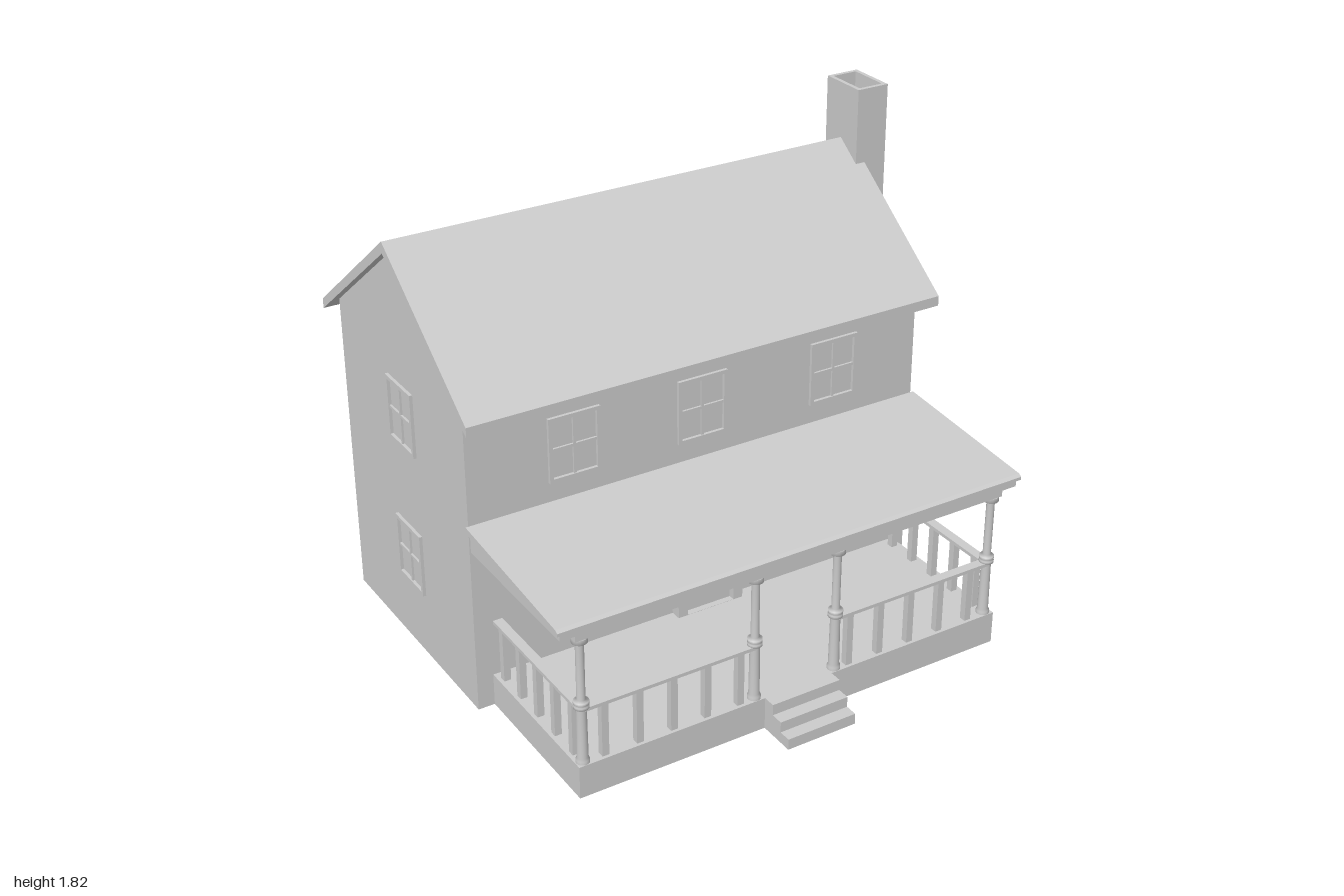
import * as THREE from 'three';

export function createModel() {
  const house = new THREE.Group();
  house.name = 'house';
  const grey = new THREE.MeshStandardMaterial({ color: 0xcccccc, side: THREE.DoubleSide });

  const add = (name, geo, parent = house) => {
    const mesh = new THREE.Mesh(geo, grey);
    mesh.name = name;
    parent.add(mesh);
    return mesh;
  };
  // Box given by its limits
  const box = (name, x0, x1, y0, y1, z0, z1, parent) => {
    const g = new THREE.BoxGeometry(x1 - x0, y1 - y0, z1 - z0);
    g.translate((x0 + x1) / 2, (y0 + y1) / 2, (z0 + z1) / 2);
    return add(name, g, parent);
  };
  // Outline of [z, y] points
  const sideShape = pts => new THREE.Shape(pts.map(([z, y]) => new THREE.Vector2(-z, y)));
  // Side outline swept from x0 to x1
  const sweep = (name, pts, x0, x1, parent) => {
    const g = new THREE.ExtrudeGeometry(sideShape(pts), { depth: x1 - x0, bevelEnabled: false });
    g.rotateY(Math.PI / 2);
    g.translate(x0, 0, 0);
    return add(name, g, parent);
  };
  const rect = (Type, x0, x1, y0, y1) => new Type([[x0, y0], [x1, y0], [x1, y1], [x0, y1]]
    .map(p => new THREE.Vector2(...p)));

  // Walls, hollow and open underneath
  const left = -0.97, right = 0.87, front = 0.155, back = -0.83, ridge = -0.335;
  const eave = 1.195, peak = 1.56;
  for (const [name, z, turn] of [['frontWall', front, 0], ['backWall', back, Math.PI]]) {
    const g = new THREE.PlaneGeometry(right - left, eave);
    g.rotateY(turn);
    g.translate((left + right) / 2, eave / 2, z);
    add(name, g);
  }
  for (const [name, x] of [['leftGableWall', left], ['rightGableWall', right]]) {
    const g = new THREE.ShapeGeometry(sideShape([[front, 0], [back, 0], [back, eave], [ridge, peak], [front, eave]]));
    g.rotateY(Math.PI / 2);
    g.translate(x, 0, 0);
    add(name, g);
  }

  // Main roof
  sweep('mainRoof', [[0.245, 1.13], [0.245, 1.168], [ridge, 1.603], [-0.915, 1.168], [-0.915, 1.13], [ridge, peak]], -1, 0.905);

  // Chimney: rectangular rings [x0, x1, z0, z1, y] joined by side faces
  const loft = rings => {
    const pos = [];
    const corner = ([x0, x1, z0, z1, y], i) => [[x0, y, z1], [x1, y, z1], [x1, y, z0], [x0, y, z0]][i % 4];
    for (let r = 0; r < rings.length - 1; r++) {
      for (let i = 0; i < 4; i++) {
        const a = corner(rings[r], i), b = corner(rings[r], i + 1);
        const c = corner(rings[r + 1], i + 1), d = corner(rings[r + 1], i);
        pos.push(...a, ...b, ...c, ...a, ...c, ...d);
      }
    }
    const g = new THREE.BufferGeometry();
    g.setAttribute('position', new THREE.Float32BufferAttribute(pos, 3));
    g.computeVertexNormals();
    return g;
  };
  add('chimney', loft([
    [0.871, 1, -0.5, -0.165, 0], [0.871, 1, -0.5, -0.165, 1.12],
    [0.866, 0.998, -0.43, -0.235, 1.27], [0.866, 0.998, -0.43, -0.235, 1.815],
    [0.882, 0.982, -0.414, -0.251, 1.815], [0.882, 0.982, -0.414, -0.251, 1.4],
  ]));

  // Windows: raised frame with cross bars, centred on its origin and facing +z
  const addWindow = (name, x, y, z, turn = 0) => {
    const w = 0.1, h = 0.123, group = new THREE.Group();
    group.name = name;
    const shape = rect(THREE.Shape, -w, w, -h, h);
    shape.holes.push(rect(THREE.Path, -w + 0.014, w - 0.014, -h + 0.014, h - 0.014));
    add('windowFrame', new THREE.ExtrudeGeometry(shape, { depth: 0.012, bevelEnabled: false }), group);
    box('verticalBar', -0.005, 0.005, -h + 0.01, h - 0.01, 0, 0.008, group);
    box('crossBar', -w + 0.01, w - 0.01, -0.005, 0.005, 0, 0.008, group);
    group.position.set(x, y, z);
    group.rotation.y = turn;
    house.add(group);
  };
  for (const x of [-0.563, -0.053, 0.505]) addWindow('upperWindow', x, 0.943, front);
  for (const x of [-0.563, 0.505]) addWindow('lowerWindow', x, 0.397, front);
  for (const y of [0.943, 0.38]) addWindow('sideWindow', left, y, ridge, -Math.PI / 2);

  // Front door
  const door = new THREE.Group();
  door.name = 'door';
  house.add(door);
  const frame = rect(THREE.Shape, -0.175, 0.1, 0.125, 0.53);
  frame.holes.push(rect(THREE.Path, -0.136, 0.061, 0.126, 0.5));
  const frameGeo = new THREE.ExtrudeGeometry(frame, { depth: 0.042, bevelEnabled: false });
  frameGeo.translate(0, 0, front);
  add('doorFrame', frameGeo, door);
  box('doorPanel', -0.136, 0.061, 0.126, 0.5, front, 0.172, door);
  box('doorHandle', -0.12, -0.097, 0.306, 0.313, 0.172, 0.186, door);

  // Porch deck, open underneath and towards the house
  const porch = new THREE.Group();
  porch.name = 'porch';
  house.add(porch);
  const deck = box('deck', -0.907, 0.818, 0, 0.125, front, 0.77, porch).geometry;
  const faces = [...deck.index.array];
  deck.setIndex([...faces.slice(0, 18), ...faces.slice(24, 30)]);
  sweep('steps', [[0.77, 0], [0.915, 0], [0.915, 0.042], [0.867, 0.042], [0.867, 0.083],
    [0.818, 0.083], [0.818, 0.125], [0.77, 0.125]], -0.18, 0.098, porch);

  // Round posts
  const postX = [-0.88, -0.21, 0.123, 0.788], postZ = 0.745;
  const postProfile = [[0.024, 0.122], [0.024, 0.138], [0.02, 0.146], [0.018, 0.335], [0.027, 0.343],
    [0.027, 0.353], [0.023, 0.356], [0.027, 0.36], [0.027, 0.37], [0.015, 0.376], [0.015, 0.59],
    [0.028, 0.597], [0.028, 0.616]].map(p => new THREE.Vector2(...p));
  for (const x of postX) {
    const g = new THREE.LatheGeometry(postProfile, 16);
    g.translate(x, 0, postZ);
    add('post', g, porch);
  }

  // Railings with five balusters each
  const baluster = (x, z) => box('baluster', x - 0.013, x + 0.013, 0.125, 0.335, z - 0.013, z + 0.013, porch);
  for (const [x0, x1, first] of [[postX[0], postX[1], -0.8], [postX[2], postX[3], 0.18]]) {
    box('frontRail', x0, x1, 0.332, 0.345, postZ - 0.018, postZ + 0.018, porch);
    for (let i = 0; i < 5; i++) baluster(first + i * 0.132, postZ);
  }
  for (const x of [postX[0], postX[3]]) {
    box('sideRail', x - 0.018, x + 0.018, 0.332, 0.345, front, postZ, porch);
    for (let i = 0; i < 5; i++) baluster(x, 0.2 + i * 0.122);
  }

  // Porch roof on beams with an outer moulding
  sweep('porchRoof', [[front, 0.723], [0.775, 0.667], [0.788, 0.672], [0.788, 0.684], [0.775, 0.692], [front, 0.745]],
    -0.98, 0.883, porch);
  box('frontBeam', -0.907, 0.818, 0.615, 0.67, 0.722, 0.768, porch);
  box('frontMoulding', -0.965, 0.873, 0.642, 0.668, 0.762, 0.774, porch);
  for (const [outer, inner, edge] of [[-0.907, -0.857, -0.965], [0.818, 0.768, 0.873]]) {
    const beam = y => [[front, y], [0.767, y], [0.767, 0.669], [front, 0.725]];
    sweep('sideBeam', beam(0.615), Math.min(outer, inner), Math.max(outer, inner), porch);
    sweep('sideMoulding', beam(0.642), Math.min(outer, edge), Math.max(outer, edge), porch);
  }

  return house;
}
